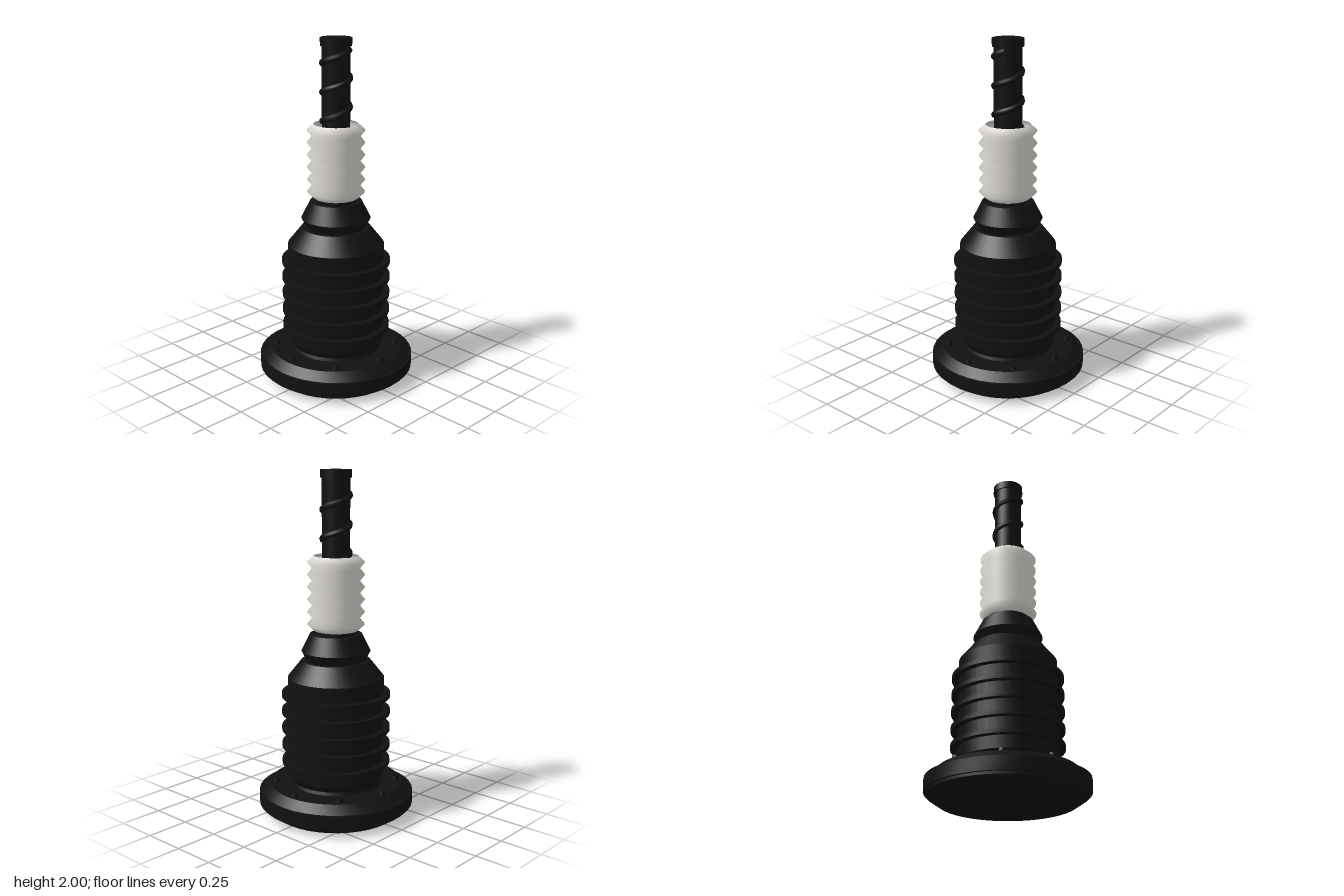
import * as THREE from 'three';
import { toCreasedNormals } from 'three/addons/utils/BufferGeometryUtils.js';

const SEGMENTS = 40;

export function createModel() {
  const model = new THREE.Group();
  const black = new THREE.MeshStandardMaterial({ color: 0x111111 });
  black.name = 'black';
  const offWhite = new THREE.MeshStandardMaterial({ color: 0xdedbd5, side: THREE.DoubleSide });
  offWhite.name = 'offWhite';

  const add = (name, geometry, material = black, parent = model) => {
    const mesh = new THREE.Mesh(geometry, material);
    mesh.name = name;
    parent.add(mesh);
    return mesh;
  };
  const turned = (points) => new THREE.LatheGeometry(points.map(([r, y]) => new THREE.Vector2(r, y)), SEGMENTS);
  const sharp = (geometry) => toCreasedNormals(geometry, 0.4);
  const disc = (r, h, y, sides = SEGMENTS) => new THREE.CylinderGeometry(r, r, h, sides).translate(0, y, 0);

  // Chamfered foot with a raised rim band
  add('base', sharp(turned([
    [0, 0], [0.38, 0], [0.44, 0.04], [0.44, 0.13], [0.39, 0.175], [0, 0.18],
  ])));
  add('baseRim', sharp(disc(0.455, 0.075, 0.0925)));

  // Eight bolt heads around the foot
  const bolts = new THREE.Group();
  bolts.name = 'bolts';
  model.add(bolts);
  for (let i = 0; i < 8; i++) {
    const a = (i * Math.PI) / 4;
    const bolt = add('bolt', sharp(new THREE.CylinderGeometry(0.018, 0.025, 0.03, 12)), black, bolts);
    bolt.position.set(0.355 * Math.cos(a), 0.183, 0.355 * Math.sin(a));
  }

  // Main body with tapered shoulder
  add('body', sharp(turned([
    [0, 0.17], [0.27, 0.17], [0.26, 0.195], [0.28, 0.225], [0.28, 0.815], [0.2, 0.915], [0, 0.915],
  ])));

  // Cooling fins
  const fins = new THREE.Group();
  fins.name = 'fins';
  model.add(fins);
  for (let i = 0; i < 5; i++) add('fin', sharp(disc(0.317, 0.025, 0.308 + i * 0.101)), black, fins);

  // Collar and neck under the bellows
  add('collar', sharp(turned([
    [0, 0.9], [0.17, 0.91], [0.2, 0.97], [0.15, 1.07], [0, 1.07],
  ])));
  add('neck', sharp(disc(0.12, 0.035, 1.08)));

  // Open ribbed sleeve
  const ribs = 6, y0 = 1.09, y1 = 1.52;
  const profile = [];
  for (let i = 0; i <= ribs * 2; i++) {
    const end = i === 0 || i === ribs * 2;
    profile.push([i % 2 ? 0.166 : end ? 0.127 : 0.137, y0 + ((y1 - y0) * i) / (ribs * 2)]);
  }
  add('bellows', turned(profile), offWhite);

  // Central rod and its end cap
  add('rod', sharp(disc(0.08, 0.88, 1.53)));
  add('rodCap', sharp(disc(0.089, 0.045, 1.9775)));

  // Cable wound around the rod, one turn every 0.163
  const helix = [];
  const start = 1.11, end = 1.935, pitch = 0.163;
  for (let i = 0; i <= 80; i++) {
    const y = start + ((end - start) * i) / 80;
    const a = ((y - 1.596) / pitch) * Math.PI * 2;
    helix.push(new THREE.Vector3(0.077 * Math.cos(a), y, -0.077 * Math.sin(a)));
  }
  add('spiralCable', new THREE.TubeGeometry(new THREE.CatmullRomCurve3(helix), 200, 0.018, 8));

  return model;
}
